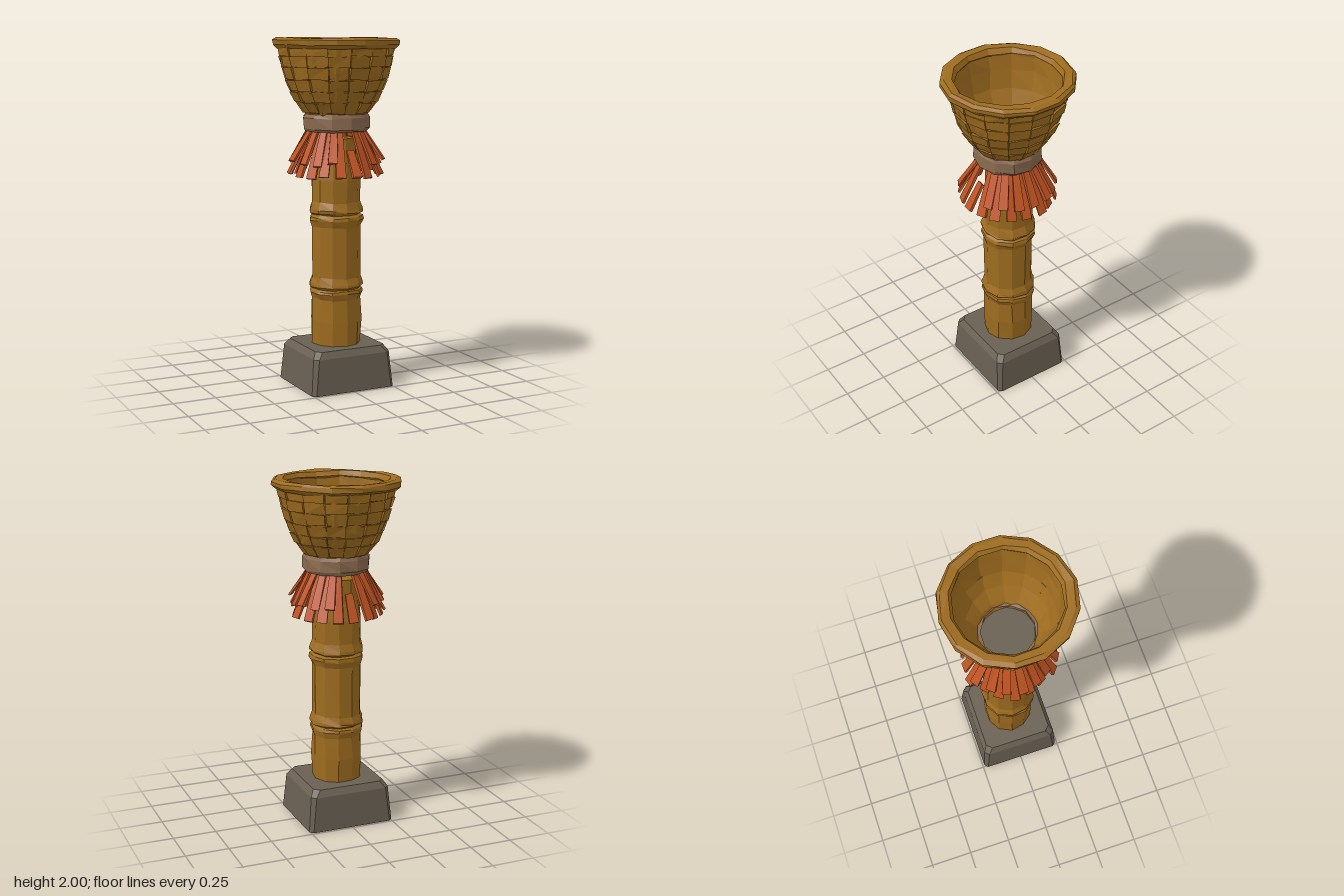
import * as THREE from 'three';
import { ConvexGeometry } from 'three/addons/geometries/ConvexGeometry.js';

const material = (name, color) => Object.assign(new THREE.MeshStandardMaterial({ color }), { name });
const V = (x, y) => new THREE.Vector2(x, y);

// Repeatable noise in -1..1 from a position, so shared corners stay joined
function noise(x, y, z, k) {
  const q = (v) => Math.round(v * 1000);
  const s = Math.sin(q(x) * 12.99 + q(y) * 78.23 + q(z) * 37.72 + k * 4.7) * 43758.5453;
  return (s - Math.floor(s)) * 2 - 1;
}

// Hand-cut look: nudge the corners, then give every face its own flat normal
function rough(geometry, amount) {
  const p = geometry.attributes.position;
  for (let i = 0; i < p.count; i++) {
    const [x, y, z] = [p.getX(i), p.getY(i), p.getZ(i)];
    p.setXYZ(i, x + amount * noise(x, y, z, 1), y + amount * noise(x, y, z, 2), z + amount * noise(x, y, z, 3));
  }
  const flat = geometry.index ? geometry.toNonIndexed() : geometry;
  flat.computeVertexNormals();
  return flat;
}

const turned = (points, sides, amount) =>
  rough(new THREE.LatheGeometry(points.map(([r, y]) => V(r, y)), sides), amount);

// Outer radius of the basket at a height
const basketCurve = [[0.16, 1.54], [0.185, 1.59], [0.232, 1.65], [0.265, 1.72], [0.292, 1.8], [0.312, 1.88], [0.325, 1.96]];
function basketRadius(y) {
  for (let i = 1; i < basketCurve.length; i++) {
    const [r0, y0] = basketCurve[i - 1], [r1, y1] = basketCurve[i];
    if (y <= y1) return r0 + (r1 - r0) * (y - y0) / (y1 - y0);
  }
  return 0.325;
}

export function createModel() {
  const model = new THREE.Group();
  const bamboo = material('bamboo', 0x9e6c1f);
  const stone = material('stone', 0x6a6053);
  const leather = material('leather', 0x8a6a4f);
  const straw = material('straw', 0xbd5222);

  const add = (name, geometry, mat, parent = model) => {
    const mesh = new THREE.Mesh(geometry, mat);
    mesh.name = name;
    parent.add(mesh);
    return mesh;
  };

  // Stone foot: tapered block with clipped corners
  const corners = [];
  for (const [y, w, d, c] of [[0, 0.258, 0.24, 0.02], [0.205, 0.24, 0.228, 0.025], [0.243, 0.215, 0.205, 0.03]])
    for (const sx of [-1, 1]) for (const sz of [-1, 1])
      corners.push(new THREE.Vector3(sx * (w - c), y, sz * d), new THREE.Vector3(sx * w, y, sz * (d - c)));
  add('foot', new ConvexGeometry(corners), stone);

  // Bamboo pole with two pairs of joint ridges
  add('pole', turned([
    [0.143, 0.23], [0.146, 0.38], [0.142, 0.51], [0.157, 0.545], [0.152, 0.56], [0.137, 0.568], [0.157, 0.58],
    [0.155, 0.6], [0.142, 0.635], [0.142, 0.93], [0.157, 0.965], [0.153, 0.985], [0.137, 0.998], [0.157, 1.01],
    [0.155, 1.025], [0.14, 1.07], [0.145, 1.2], [0.13, 1.3], [0.125, 1.435], [0, 1.435],
  ], 11, 0.004), bamboo);

  // Straw skirt: a long layer and a shorter, wider-spread layer
  const skirt = new THREE.Group();
  skirt.name = 'skirt';
  model.add(skirt);
  const strip = (angle, r0, y0, r1, y1, width) => {
    const length = Math.hypot(r1 - r0, y1 - y0);
    const g = new THREE.BoxGeometry(width, length, 0.014);
    const p = g.attributes.position;
    for (let i = 0; i < p.count; i++) if (p.getY(i) > 0) p.setX(i, p.getX(i) * 0.75);
    g.rotateX(-Math.atan2(r1 - r0, y0 - y1));
    g.translate(0, (y0 + y1) / 2, (r0 + r1) / 2);
    g.rotateY(angle);
    add('strawStrip', rough(g, 0.003), straw, skirt);
  };
  const count = 18;
  for (let i = 0; i < count; i++) {
    const a = i / count * Math.PI * 2, n = noise(i, 2, 5, 1);
    const gap = i % 9 === 0;
    strip(a, gap ? 0.18 : 0.145, gap ? 1.37 : 1.48, 0.262 + n * 0.02, 1.225 + n * 0.012, 0.056);
    if (i % 9 !== 0 && i % 9 !== 8)
      strip(a + Math.PI / count, 0.16, 1.48, 0.265 + n * 0.015, 1.3 + n * 0.015, 0.052);
  }

  // Binding strap under the basket
  add('strap', turned([
    [0.155, 1.475], [0.18, 1.472], [0.19, 1.49], [0.19, 1.55], [0.178, 1.572], [0.15, 1.57], [0.155, 1.475],
  ], 11, 0.005), leather);

  // Stone plate closing the bottom of the basket
  const plate = new THREE.CylinderGeometry(0.165, 0.165, 0.04, 12);
  plate.translate(0, 1.52, 0);
  add('basketFloor', rough(plate, 0), stone);

  // Basket wall, outside up and inside down
  add('basket', turned([
    ...basketCurve, [0.292, 1.96], [0.283, 1.87], [0.262, 1.76], [0.225, 1.67], [0.17, 1.59], [0.148, 1.545], [0.16, 1.54],
  ], 14, 0.005), bamboo);

  // Woven pieces: boxes bent onto the basket wall, staggered row by row
  const weave = new THREE.Group();
  weave.name = 'weave';
  model.add(weave);
  const rows = [1.575, 1.64, 1.7, 1.765, 1.835, 1.895, 1.95], columns = 16;
  for (let j = 0; j < rows.length - 1; j++) for (let i = 0; i < columns; i++) {
    const proud = (i + j) % 2 ? 0.012 : 0.004;
    const g = new THREE.BoxGeometry(1, 1, 1);
    const p = g.attributes.position;
    for (let k = 0; k < p.count; k++) {
      const a = (i + p.getX(k) * 0.97) / columns * Math.PI * 2;
      const y = THREE.MathUtils.lerp(rows[j], rows[j + 1], 0.5 + p.getY(k) * 0.94);
      const r = basketRadius(y) + (p.getZ(k) > 0 ? proud : -0.012);
      p.setXYZ(k, Math.sin(a) * r, y, Math.cos(a) * r);
    }
    add('weavePiece', rough(g, 0.004), bamboo, weave);
  }

  // Thick rim
  add('rim', turned([
    [0.3, 1.94], [0.34, 1.938], [0.363, 1.958], [0.364, 1.982], [0.345, 1.996], [0.3, 1.99], [0.288, 1.965], [0.3, 1.94],
  ], 14, 0.005), bamboo);

  return model;
}
